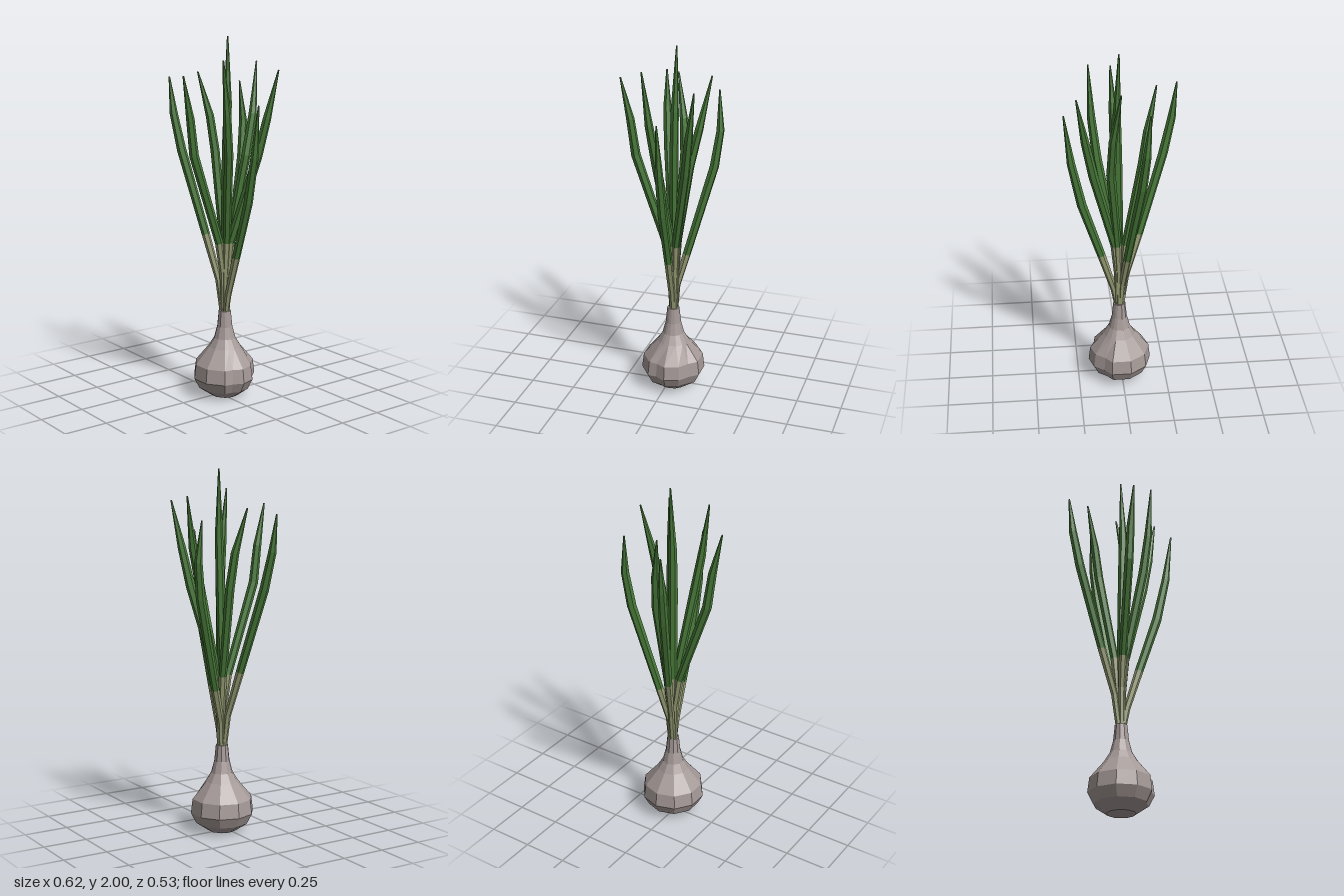
import * as THREE from 'three';

const CX = 0.013, CZ = -0.025; // axis of the bulb

const mat = (name, color) => {
  const m = new THREE.MeshStandardMaterial({ color, flatShading: true });
  m.name = name;
  return m;
};

// Closed faceted skin over a stack of equal rings, listed from bottom to top
function skin(rings) {
  const n = rings[0].length;
  const pos = rings.flat().flatMap((p) => [p.x, p.y, p.z]);
  const index = [];
  for (let i = 0; i < rings.length - 1; i++) {
    for (let j = 0; j < n; j++) {
      const a = i * n + j, b = i * n + ((j + 1) % n);
      index.push(a, a + n, b, b, a + n, b + n);
    }
  }
  const top = (rings.length - 1) * n;
  for (let j = 1; j < n - 1; j++) {
    index.push(0, j, j + 1, top, top + j + 1, top + j);
  }
  const g = new THREE.BufferGeometry();
  g.setAttribute('position', new THREE.Float32BufferAttribute(pos, 3));
  g.setIndex(index);
  const flat = g.toNonIndexed();
  flat.computeVertexNormals();
  return flat;
}

// Six-sided rings square to a path, with one radius per point
function leafRings(points, radii) {
  return points.map((p, i) => {
    const t = points[Math.min(i + 1, points.length - 1)].clone()
      .sub(points[Math.max(i - 1, 0)]).normalize();
    return Array.from({ length: 6 }, (_, j) => {
      const a = (j / 6) * Math.PI * 2;
      const d = new THREE.Vector3(Math.cos(a), 0, Math.sin(a));
      d.y = -(d.x * t.x + d.z * t.z) / t.y;
      return d.multiplyScalar(radii[i]).add(p);
    });
  });
}

// Leaf paths; the third point is where pale stalk turns into green blade
const LEAVES = {
  leftwardLong: [[0, 0.47, -0.02], [-0.025, 0.66, -0.012], [-0.1, 0.91, 0.02], [-0.235, 1.37, 0.085], [-0.28, 1.57, 0.105], [-0.305, 1.77, 0.115]],
  leftwardBent: [[0.002, 0.47, -0.03], [-0.003, 0.68, -0.035], [-0.02, 0.88, -0.04], [-0.108, 1.37, -0.05], [-0.135, 1.56, -0.035], [-0.185, 1.8, 0.01]],
  backLeft: [[0.005, 0.47, -0.035], [-0.003, 0.62, -0.042], [-0.025, 0.81, -0.09], [-0.092, 1.32, -0.222], [-0.112, 1.52, -0.247], [-0.13, 1.74, -0.235]],
  centre: [[0.012, 0.47, -0.025], [0.012, 0.68, -0.025], [0.012, 0.88, -0.025], [0.022, 1.4, -0.03], [0.026, 1.65, -0.035], [0.015, 2.0, -0.042]],
  frontRight: [[0.022, 0.47, -0.02], [0.022, 0.68, -0.022], [0.035, 0.88, -0.022], [0.127, 1.38, 0.035], [0.152, 1.6, 0.065], [0.165, 1.89, 0.1]],
  backRight: [[0.024, 0.47, -0.033], [0.024, 0.68, -0.035], [0.04, 0.88, -0.045], [0.158, 1.36, -0.135], [0.2, 1.57, -0.165], [0.245, 1.83, -0.205]],
  rightward: [[0.024, 0.47, -0.025], [0.045, 0.59, -0.026], [0.112, 0.81, -0.028], [0.215, 1.13, -0.028], [0.268, 1.38, -0.027], [0.303, 1.66, -0.025]],
  backward: [[0.015, 0.47, -0.035], [0.016, 0.68, -0.038], [0.025, 0.88, -0.05], [0.065, 1.36, -0.13], [0.058, 1.58, -0.18], [0.02, 1.86, -0.235]],
  forward: [[0.013, 0.47, -0.015], [0.014, 0.7, -0.012], [0.016, 0.88, 0.015], [0.021, 1.38, 0.185], [0.026, 1.58, 0.212], [0.035, 1.81, 0.262]],
};
const RADII = [0.015, 0.018, 0.022, 0.025, 0.022, 0.004];

export function createModel() {
  const group = new THREE.Group();
  const skinMat = mat('bulb skin', 0xa59a98);
  const paleMat = mat('pale stalk', 0x949a72);
  const greenMat = mat('leaf green', 0x477838);
  const add = (parent, name, geo, material) => {
    const mesh = new THREE.Mesh(geo, material);
    mesh.name = name;
    parent.add(mesh);
  };

  // Bulb: faceted swelling drawn up into a neck, with two clefts between cloves
  const profile = [[0.078, 0.004], [0.148, 0.052], [0.178, 0.11], [0.168, 0.19], [0.09, 0.285], [0.06, 0.335], [0.043, 0.4], [0.034, 0.49]];
  const ribs = [[0, 1], [20, 0.9], [36, 1]];
  for (let a = 72; a < 324; a += 36) ribs.push([a, 1]);
  ribs.push([308, 0.87], [332, 0.96]);
  const bulbRings = profile.map(([r, y]) => ribs.map(([deg, k]) => {
    const a = THREE.MathUtils.degToRad(deg);
    const rr = r > 0.1 ? r * k : r;
    return new THREE.Vector3(CX + rr * Math.cos(a), y, CZ + rr * Math.sin(a));
  }));
  add(group, 'bulb', skin(bulbRings), skinMat);

  // Leaves: pale stalk below, green pointed blade above
  for (const [name, path] of Object.entries(LEAVES)) {
    const leaf = new THREE.Group();
    leaf.name = `${name}Leaf`;
    const rings = leafRings(path.map((p) => new THREE.Vector3(...p)), RADII);
    add(leaf, 'stalk', skin(rings.slice(0, 3)), paleMat);
    add(leaf, 'blade', skin(rings.slice(2)), greenMat);
    group.add(leaf);
  }
  return group;
}
